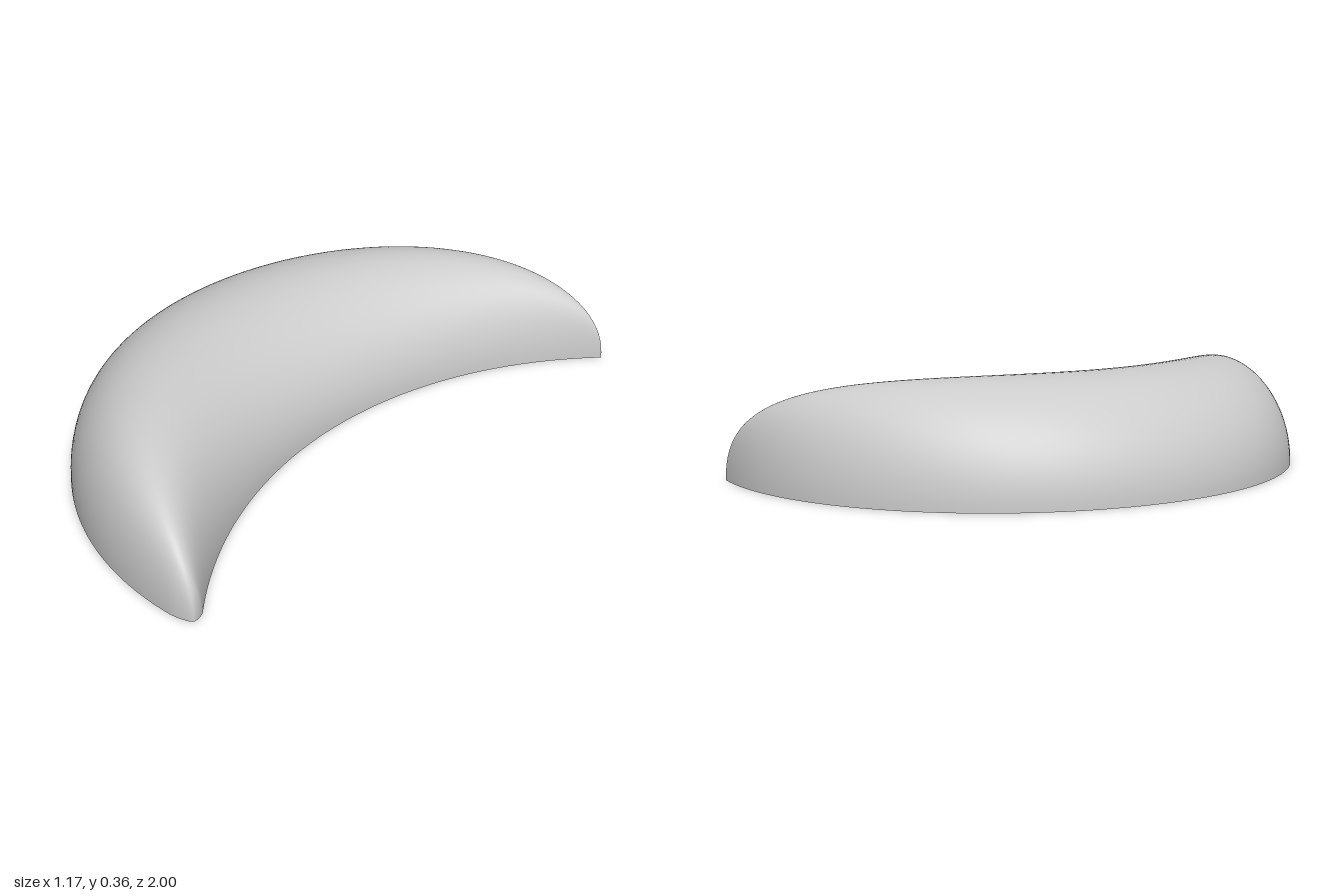
import * as THREE from 'three';

const BACK = -1, FRONT = 0.968, CAP = 0.935; // range along the crescent, and start of the rounded front tip
const RINGS = 160, SIDES = 48, HEIGHT = 0.36;

// Point on a plan arc bulging toward -x
const arc = (cx, r, angle) => new THREE.Vector2(cx - r * Math.cos(angle), r * Math.sin(angle));

// Outer and inner edge of the crescent at s
function edges(s) {
  const outer = arc(0.41, 1, s * THREE.MathUtils.degToRad(100));
  const inner = arc(1.616, 1.426, s * THREE.MathUtils.degToRad(43.5));
  const mid = outer.clone().add(inner).multiplyScalar(0.5);
  if (s > CAP) {
    // round off the blunt front tip
    const k = Math.min(1, (s - CAP) / (FRONT - CAP));
    const w = Math.sqrt(1 - k * k);
    outer.lerp(mid, 1 - w);
    inner.lerp(mid, 1 - w);
  }
  return { outer, inner, mid };
}

// Ridge height, falling in a superellipse to each tip
function ridgeHeight(s) {
  const start = edges(0).mid.x;
  const end = edges(s < 0 ? BACK : FRONT).mid.x;
  const u = THREE.MathUtils.clamp((edges(s).mid.x - start) / (end - start), 0, 1);
  return HEIGHT * Math.pow(1 - Math.pow(u, 2.2), 1 / 2.2);
}

function buildGeometry(positions, indices) {
  const geometry = new THREE.BufferGeometry();
  geometry.setAttribute('position', new THREE.Float32BufferAttribute(positions, 3));
  geometry.setIndex(indices);
  geometry.computeVertexNormals();
  return geometry;
}

export function createModel() {
  const group = new THREE.Group();
  group.name = 'crescent';
  const material = new THREE.MeshStandardMaterial({ color: 0xcccccc });
  const dome = [], domeFaces = [], base = [], baseFaces = [];

  for (let i = 0; i <= RINGS; i++) {
    // rings crowd together toward both tips
    const t = Math.sin((i / RINGS - 0.5) * Math.PI);
    const s = (BACK + FRONT) / 2 + t * (FRONT - BACK) / 2;
    const { outer, inner, mid } = edges(s);
    const h = ridgeHeight(s);

    // half-ellipse section from outer to inner edge
    for (let j = 0; j <= SIDES; j++) {
      const a = (j / SIDES) * Math.PI;
      const p = mid.clone().addScaledVector(inner.clone().sub(outer), -Math.cos(a) / 2);
      dome.push(p.x, h * Math.sin(a), p.y);
      if (i < RINGS && j < SIDES) {
        const k = i * (SIDES + 1) + j, n = k + SIDES + 1;
        domeFaces.push(k, n, k + 1, k + 1, n, n + 1);
      }
    }

    // flat underside
    base.push(outer.x, 0, outer.y, inner.x, 0, inner.y);
    if (i < RINGS) {
      const k = i * 2;
      baseFaces.push(k, k + 1, k + 2, k + 1, k + 3, k + 2);
    }
  }

  const body = new THREE.Mesh(buildGeometry(dome, domeFaces), material);
  body.name = 'curvedBody';
  const underside = new THREE.Mesh(buildGeometry(base, baseFaces), material);
  underside.name = 'flatBase';
  group.add(body, underside);
  return group;
}
